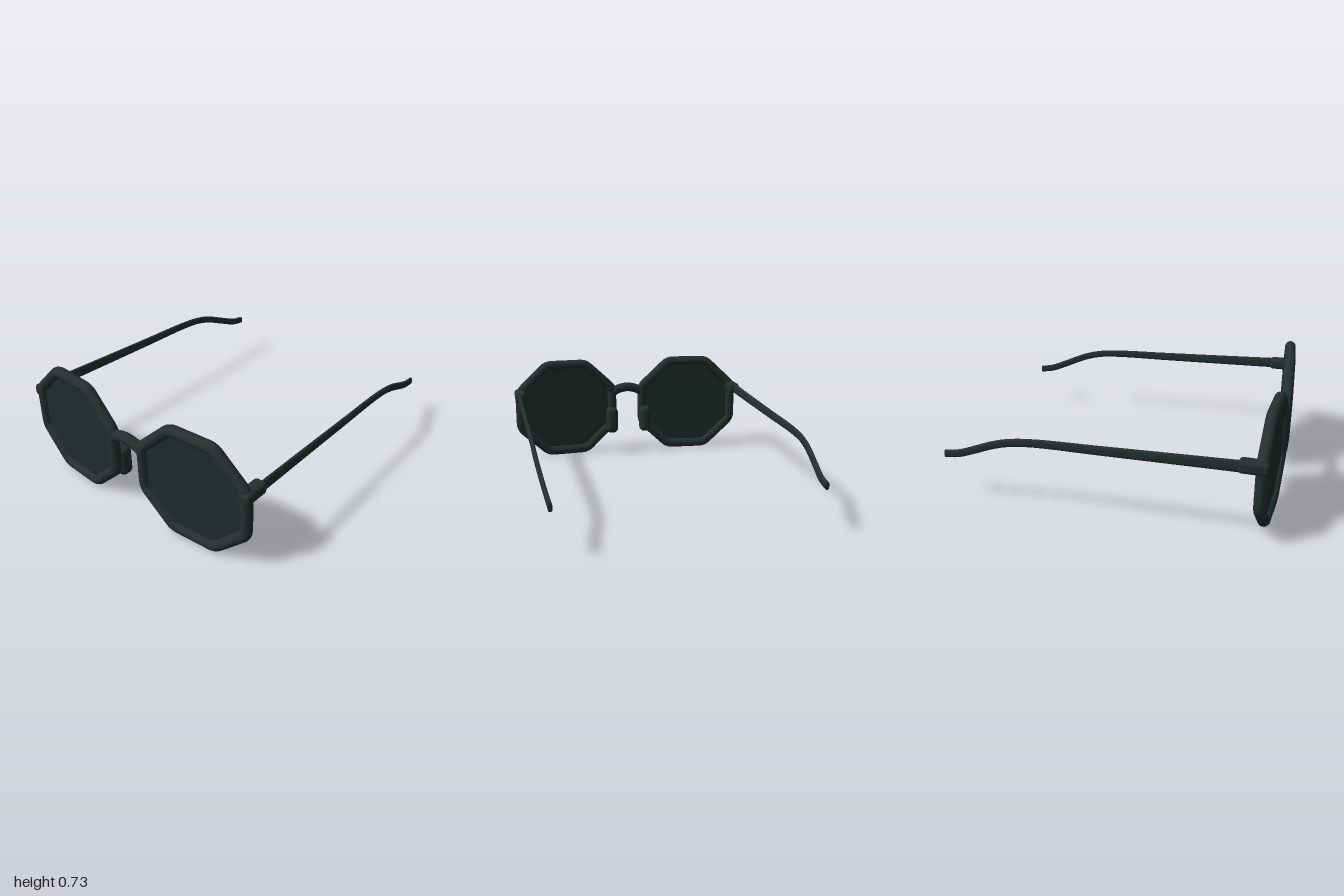
import * as THREE from 'three';
import { RoundedBoxGeometry } from 'three/addons/geometries/RoundedBoxGeometry.js';

const V = (x, y, z = 0) => new THREE.Vector3(x, y, z);
const frameMat = new THREE.MeshStandardMaterial({ color: 0x24302f });
frameMat.name = 'dark frame';
const lensMat = new THREE.MeshStandardMaterial({ color: 0x212b2c });
lensMat.name = 'dark lens';

function add(parent, name, geometry, material, x = 0, y = 0, z = 0) {
  const mesh = new THREE.Mesh(geometry, material);
  mesh.name = name;
  mesh.position.set(x, y, z);
  parent.add(mesh);
  return mesh;
}

// Corners of an octagon, slightly wider than tall
function octagon(halfW, halfH) {
  const k = 1 / Math.cos(Math.PI / 8);
  return Array.from({ length: 8 }, (_, i) => {
    const a = (i + 0.5) * Math.PI / 4;
    return V(Math.cos(a) * halfW * k, Math.sin(a) * halfH * k);
  });
}

// Round tube along an octagon with softened corners
function rimGeometry() {
  const pts = octagon(0.355, 0.333);
  const path = new THREE.CurvePath();
  pts.forEach((p, i) => {
    const prev = pts[(i + 7) % 8], next = pts[(i + 1) % 8];
    const a = p.clone().lerp(prev, 0.13), b = p.clone().lerp(next, 0.13);
    path.add(new THREE.QuadraticBezierCurve3(a, p, b));
    path.add(new THREE.LineCurve3(b, next.clone().lerp(p, 0.13)));
  });
  return new THREE.TubeGeometry(path, 160, 0.035, 14, true);
}

// Temple arm: rounded-rectangle sections swept back along a curve
function templeGeometry(side) {
  const curve = new THREE.CatmullRomCurve3([
    V(0.838, 0.488, 0.82), V(0.829, 0.476, 0.4), V(0.822, 0.465, 0), V(0.815, 0.454, -0.4),
    V(0.812, 0.438, -0.54), V(0.805, 0.408, -0.65), V(0.789, 0.346, -0.8),
    V(0.776, 0.303, -0.91), V(0.77, 0.288, -1)
  ]);
  const rings = 60, sides = 16, pos = [], idx = [];
  for (let i = 0; i <= rings; i++) {
    const t = i / rings, c = curve.getPointAt(t), d = curve.getTangentAt(t);
    const up = i === rings ? V(0, 1, 0) : V(0, -d.z, d.y).normalize();
    const halfH = 0.036 - 0.012 * Math.min(1, t * 1.4);
    for (let j = 0; j < sides; j++) {
      const a = j / sides * Math.PI * 2, co = Math.cos(a), s = Math.sin(a);
      const h = Math.sign(s) * Math.abs(s) ** 0.7 * halfH;
      const w = Math.sign(co) * Math.abs(co) ** 0.7 * 0.0125;
      pos.push(side * (c.x + w), c.y + up.y * h, c.z + up.z * h);
    }
  }
  const tri = (a, b, c) => idx.push(...(side > 0 ? [a, c, b] : [a, b, c]));
  for (let i = 0; i < rings; i++) for (let j = 0; j < sides; j++) {
    const a = i * sides + j, b = i * sides + (j + 1) % sides;
    tri(a, b, a + sides);
    tri(b, b + sides, a + sides);
  }
  // Flat end cap with its own vertices
  const last = pos.length / 3 - sides, start = pos.length / 3;
  pos.push(...pos.slice(last * 3));
  for (let j = 1; j < sides - 1; j++) tri(start, start + j, start + j + 1);
  const g = new THREE.BufferGeometry();
  g.setAttribute('position', new THREE.Float32BufferAttribute(pos, 3));
  g.setIndex(idx);
  g.computeVertexNormals();
  return g;
}

export function createModel() {
  const model = new THREE.Group();
  model.name = 'sunglasses';
  const rim = rimGeometry();
  const lens = new THREE.ExtrudeGeometry(
    new THREE.Shape(octagon(0.345, 0.323).map(p => new THREE.Vector2(p.x, p.y))),
    { depth: 0.016, bevelEnabled: false });

  for (const side of [1, -1]) {
    const label = side > 0 ? 'left' : 'right';

    // Rim and lens, swept back toward the temples
    const eye = new THREE.Group();
    eye.name = label + 'EyePiece';
    eye.position.set(side * 0.475, 0.368, 0.932);
    eye.rotation.y = side * 0.07;
    add(eye, label + 'Rim', rim, frameMat);
    add(eye, label + 'Lens', lens, lensMat, 0, 0, -0.008);
    model.add(eye);

    // Nose pad, hinge block and temple arm
    add(model, label + 'NosePad', new RoundedBoxGeometry(0.09, 0.2, 0.09, 5, 0.036),
      frameMat, side * 0.132, 0.262, 0.892);
    add(model, label + 'Hinge', new RoundedBoxGeometry(0.08, 0.075, 0.165, 4, 0.022),
      frameMat, side * 0.828, 0.49, 0.863);
    add(model, label + 'Temple', templeGeometry(side), frameMat);
  }

  // Arched bridge
  const arch = new THREE.CatmullRomCurve3([
    V(-0.13, 0.46, 0.953), V(-0.07, 0.492, 0.958), V(0, 0.505, 0.96),
    V(0.07, 0.492, 0.958), V(0.13, 0.46, 0.953)
  ]);
  add(model, 'bridge', new THREE.TubeGeometry(arch, 32, 0.034, 14), frameMat);
  return model;
}
